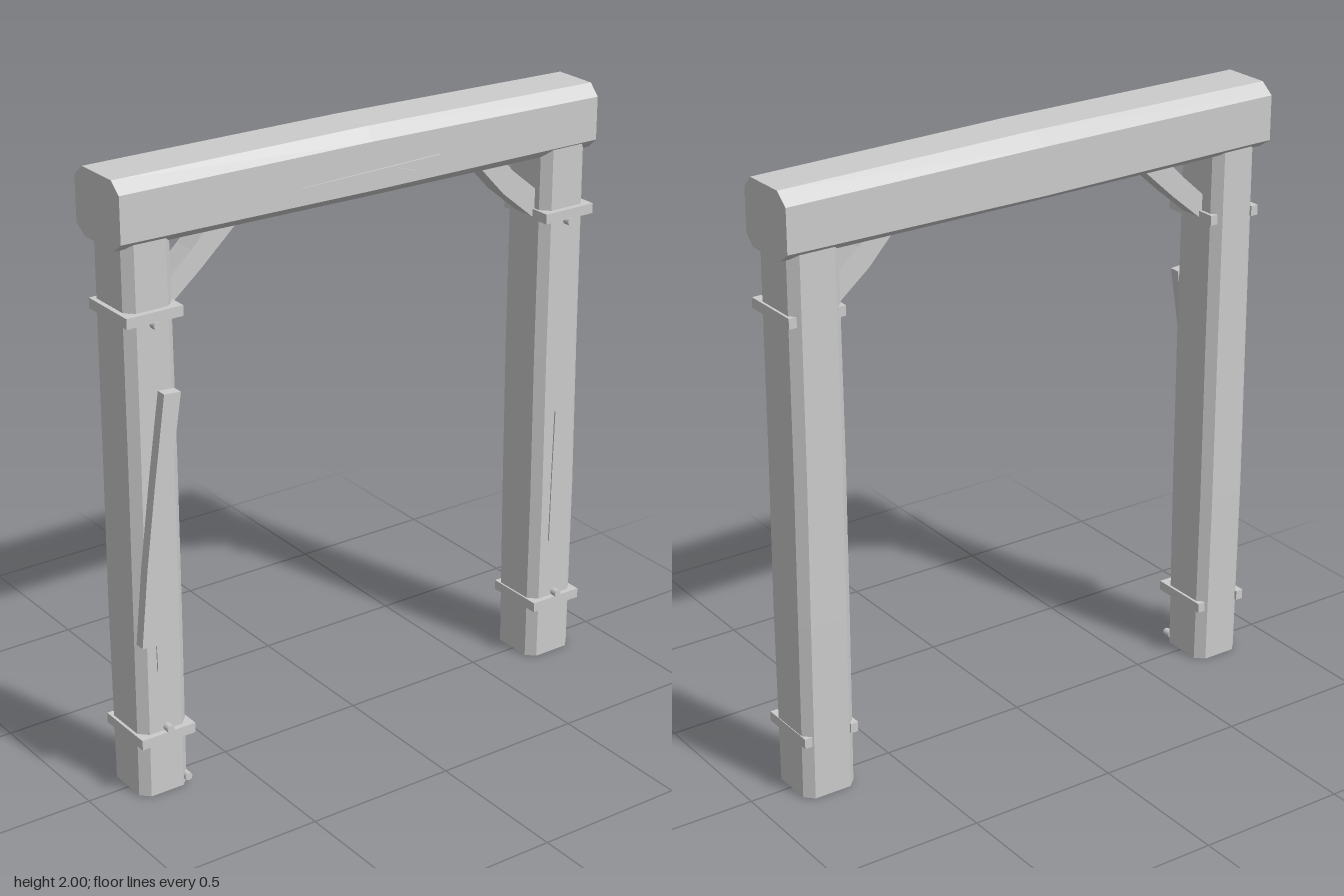
import * as THREE from 'three';

// Joins equal-length cross-sections (counter-clockwise seen from the last one), with flat faces and caps
function loft(rings) {
  const pos = [];
  const tri = (...pts) => pts.forEach((p) => pos.push(...p));
  const n = rings[0].length;
  for (let k = 0; k < rings.length - 1; k++) {
    const a = rings[k], b = rings[k + 1];
    for (let i = 0; i < n; i++) {
      const j = (i + 1) % n;
      tri(a[i], a[j], b[j]);
      tri(a[i], b[j], b[i]);
    }
  }
  const first = rings[0], last = rings[rings.length - 1];
  for (let i = 1; i < n - 1; i++) {
    tri(first[0], first[i + 1], first[i]);
    tri(last[0], last[i], last[i + 1]);
  }
  const g = new THREE.BufferGeometry();
  g.setAttribute('position', new THREE.Float32BufferAttribute(pos, 3));
  g.computeVertexNormals();
  return g;
}

// Outline in the front plane, given depth from z0 to z1
function slab(points, z0, z1) {
  const shape = new THREE.Shape(points.map(([x, y]) => new THREE.Vector2(x, y)));
  return new THREE.ExtrudeGeometry(shape, { depth: z1 - z0, bevelEnabled: false }).translate(0, 0, z0);
}

export function createModel() {
  const group = new THREE.Group();
  const wood = new THREE.MeshStandardMaterial({ color: 0xcccccc });
  wood.name = 'grey wood';
  const add = (name, geometry) => {
    const mesh = new THREE.Mesh(geometry, wood);
    mesh.name = name;
    group.add(mesh);
  };
  const addNail = (name, x, y, z) =>
    add(name, new THREE.CylinderGeometry(0.013, 0.013, 0.03, 8).rotateX(Math.PI / 2).translate(x, y, z));

  // Sagging top beam: x, top, upper edge, lower edge, bottom, front z, front of top face, back z
  const beam = [
    [-0.875, 2.0, 1.965, 1.82, 1.79, 0.11, 0.07, -0.135],
    [0, 1.997, 1.958, 1.806, 1.778, 0.1, 0.065, -0.139],
    [0.875, 1.98, 1.942, 1.802, 1.77, 0.095, 0.06, -0.135],
  ];
  add('topBeam', loft(beam.map(([x, top, hi, lo, bottom, front, inner, back]) => [
    [x, bottom, -0.09], [x, lo, back], [x, hi, back], [x, top, -0.09],
    [x, top, inner], [x, hi, front], [x, lo, front], [x, bottom, inner],
  ])));

  // Hewn posts: y, outer x, inner x, back z, front z
  const postRings = [
    [0, 0.857, 0.685, -0.1, 0.09],
    [0.6, 0.856, 0.685, -0.108, 0.094],
    [1.1, 0.852, 0.684, -0.11, 0.092],
    [1.81, 0.85, 0.688, -0.11, 0.09],
  ];
  for (const s of [-1, 1]) {
    const c = 0.028;
    const shift = s > 0 ? -0.007 : 0;
    const rings = postRings.map(([y, outer, inner, back, front]) => {
      const inside = s > 0 ? inner - 0.01 : inner;
      const ring = [
        [s * (inside + c), y, back], [s * inside, y, back + c],
        [s * inside, y, front - c], [s * (inside + c), y, front],
        [s * (outer - c), y, front], [s * outer, y, front - c],
        [s * outer, y, back + c], [s * (outer - c), y, back],
      ];
      return s > 0 ? ring : ring.reverse();
    });
    const side = s > 0 ? 'left' : 'right';
    add(side + 'Post', loft(rings));

    // U-shaped bands, open at the back, each with a nail
    for (const [y, nailY] of [[0.187, 0.23], [1.565, 1.555]]) {
      const o = 0.866, i = 0.676, t = 0.026;
      const u = [
        [i, 0.1], [i, -0.11], [o, -0.11], [o, 0.1],
        [o - t, 0.1], [o - t, -0.08], [i + t, -0.08], [i + t, 0.1],
      ].map(([x, z]) => [s * x + shift, z]);
      add(side + 'Band', slab(u, 0, 0.033).rotateX(-Math.PI / 2).translate(0, y, 0));
      addNail(side + 'Nail', s * 0.767, nailY, 0.101);
    }
  }
  addNail('footNail', -0.695, 0.026, 0.08);

  // Corner braces
  add('rightBrace', slab([
    [-0.7, 1.565], [-0.675, 1.578], [-0.57, 1.665], [-0.42, 1.8],
    [-0.53, 1.8], [-0.6, 1.73], [-0.7, 1.64],
  ], -0.04, 0.04));
  add('leftBrace', slab([
    [0.7, 1.56], [0.665, 1.575], [0.55, 1.67], [0.43, 1.8],
    [0.53, 1.8], [0.585, 1.74], [0.7, 1.645],
  ], -0.04, 0.04));

  // Loose leaning plank
  add('leaningPlank', slab([
    [-0.765, 1.35], [-0.806, 1.07], [-0.842, 0.8], [-0.868, 0.55],
    [-0.808, 0.543], [-0.784, 0.8], [-0.752, 1.07], [-0.708, 1.345],
  ], 0.1, 0.135));

  // Thin splits in the wood
  add('beamCrack', slab([
    [-0.26, 1.865], [-0.05, 1.854], [0.06, 1.852], [0.17, 1.836],
    [0.09, 1.862], [0.25, 1.874], [0.05, 1.87],
  ], 0.097, 0.1055));
  add('rightPostCrack', slab([[-0.795, 0.43], [-0.787, 0.5], [-0.78, 0.78], [-0.798, 0.6]], 0.09, 0.098));
  add('leftPostCrack', slab([[0.735, 0.43], [0.745, 0.5], [0.744, 0.9], [0.738, 0.65]], 0.09, 0.098));

  return group;
}
